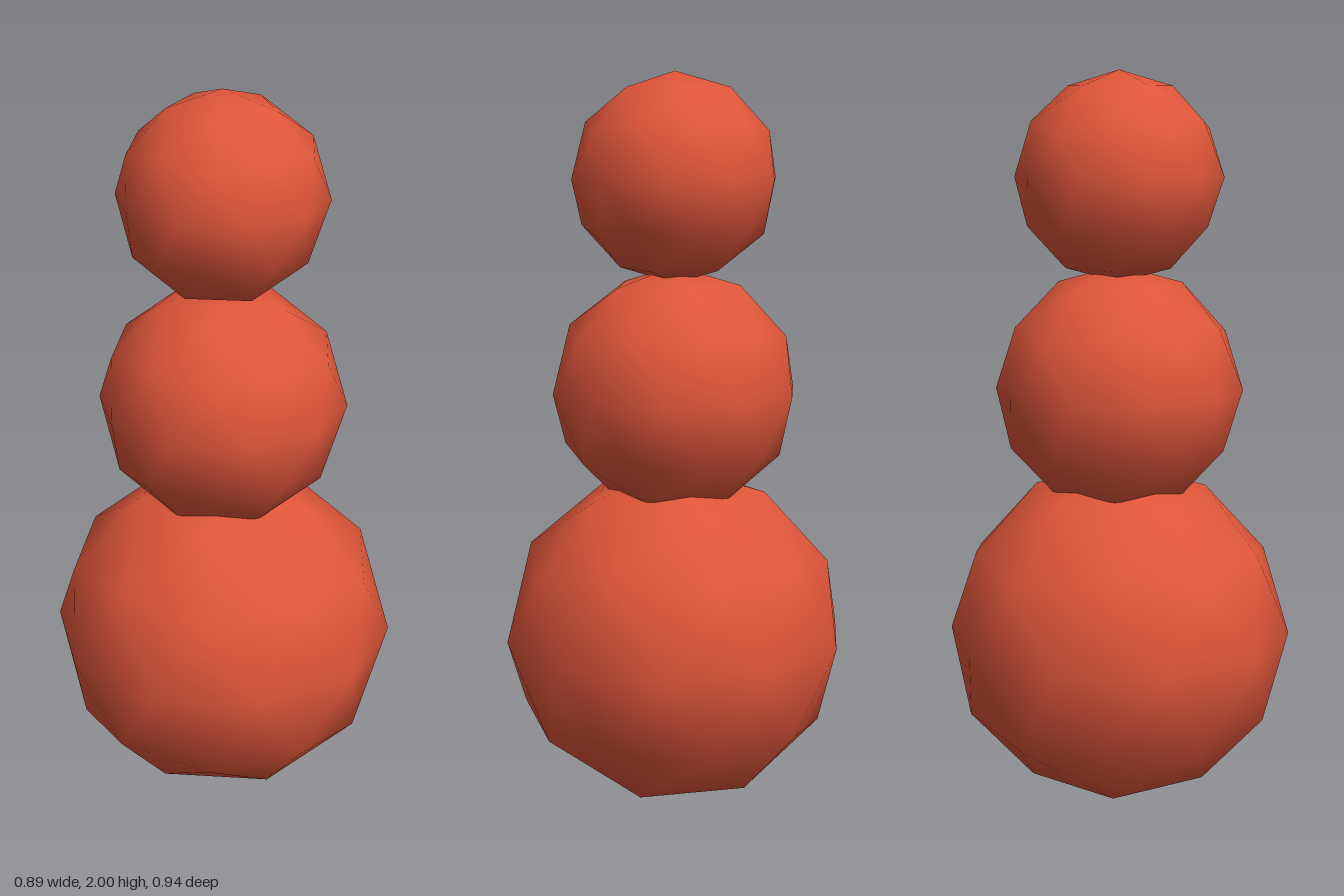
import * as THREE from 'three';

// Once-subdivided icosphere turned so that a corner points straight up
function ballGeometry(radius) {
  const golden = (1 + Math.sqrt(5)) / 2;
  return new THREE.IcosahedronGeometry(radius, 1).rotateZ(-Math.atan(1 / golden));
}

export function createModel() {
  const group = new THREE.Group();
  group.name = 'stackedBalls';
  const material = new THREE.MeshStandardMaterial({ color: 0xe0563a });

  // Three stacked balls, each sinking slightly into the one below
  const balls = [
    { name: 'bottomBall', radius: 0.47, y: 0.47 },
    { name: 'middleBall', radius: 0.336, y: 1.15 },
    { name: 'topBall', radius: 0.28, y: 1.72 },
  ];
  for (const { name, radius, y } of balls) {
    const ball = new THREE.Mesh(ballGeometry(radius), material);
    ball.name = name;
    ball.position.y = y;
    group.add(ball);
  }
  return group;
}
